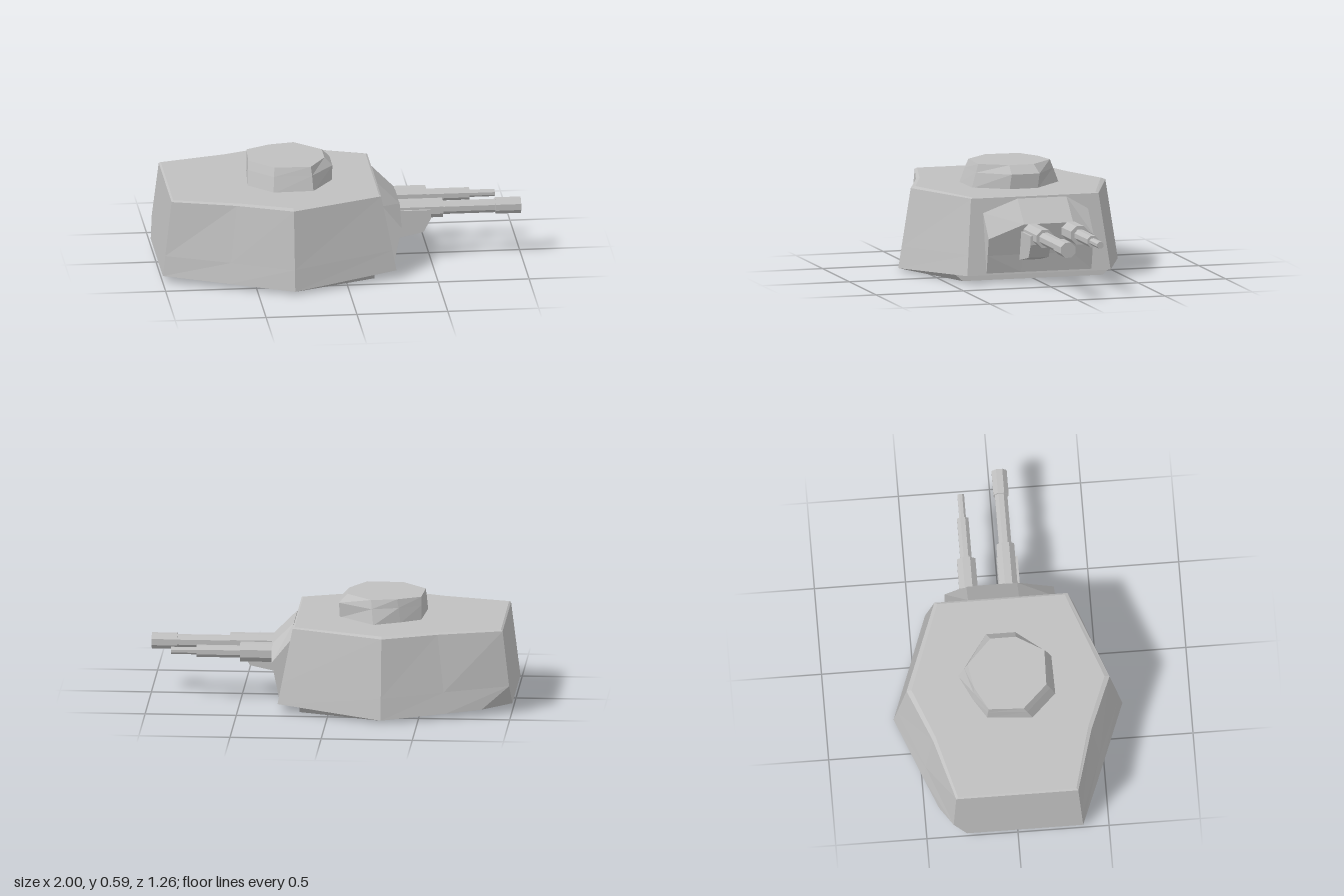
import * as THREE from 'three';

const steel = new THREE.MeshStandardMaterial({ color: 0xc0c0c0 });
steel.name = 'light grey steel';

// Flat-shaded skin over matching rings, counter-clockwise around the direction of travel, capped at both ends
function loft(name, rings) {
  const pos = [];
  const tri = (a, b, c) => pos.push(...a, ...b, ...c);
  const centre = (r) => [0, 1, 2].map((k) => r.reduce((s, p) => s + p[k], 0) / r.length);
  const n = rings[0].length;
  const first = rings[0], last = rings[rings.length - 1];
  const c0 = centre(first), c1 = centre(last);
  for (let i = 0; i < n; i++) {
    const j = (i + 1) % n;
    for (let k = 0; k < rings.length - 1; k++) {
      const a = rings[k], b = rings[k + 1];
      tri(a[i], a[j], b[j]);
      tri(a[i], b[j], b[i]);
    }
    tri(c0, first[j], first[i]);
    tri(c1, last[i], last[j]);
  }
  const g = new THREE.BufferGeometry();
  g.setAttribute('position', new THREE.Float32BufferAttribute(pos, 3));
  g.computeVertexNormals();
  const mesh = new THREE.Mesh(g, steel);
  mesh.name = name;
  return mesh;
}

// Ring of the shell from its +z half, back to front; the other back corner may be cut into two points
function shellRing(half, cut) {
  const mirrored = half.slice().reverse().map(([x, y, z]) => [x, y, -z]);
  const corner = mirrored.pop();
  return [...mirrored, ...(cut || [corner, corner]), ...half];
}

// Stepped eight-sided barrel along x; steps are [x, radius]
function barrel(name, y, z, steps) {
  const pts = steps.map(([x, r]) => new THREE.Vector2(r, x));
  const g = new THREE.LatheGeometry(pts, 8, Math.PI / 8).toNonIndexed();
  g.rotateZ(-Math.PI / 2);
  g.computeVertexNormals();
  const mesh = new THREE.Mesh(g, steel);
  mesh.position.set(0, y, z);
  mesh.name = name;
  return mesh;
}

export function createModel() {
  const model = new THREE.Group();
  model.name = 'turret';

  // Six-sided armoured shell: stepped floor, overhanging front, one clipped back corner, dented roof edge
  const base = [[-1, 0.045, 0.358], [-0.65, 0.033, 0.495], [-0.3, 0.02, 0.628]];
  const foot = [...base, [0.28, 0.05, 0.41]];
  const rim = [[-0.95, 0.463, 0.335], [-0.6, 0.462, 0.435], [-0.3, 0.46, 0.557], [0.2, 0.465, 0.365]];
  const waist = foot.map((p, i) => p.map((v, k) => v + (rim[i][k] - v) * 0.27));
  const clip = [[-0.84, 0.04, -0.42], [-1, 0.045, -0.28]];
  model.add(loft('shell', [
    shellRing([...base, [0.16, 0.005, 0.4]], clip),
    shellRing([...base, [0.155, 0.05, 0.45]], clip),
    shellRing(foot, clip),
    shellRing(waist),
    shellRing(rim),
    shellRing([[-0.94, 0.47, 0.325], [-0.58, 0.47, 0.42], [-0.3, 0.47, 0.53], [0.19, 0.47, 0.35]]),
  ]));

  // Faceted cupola, bulging slightly towards the guns
  const low = [[-0.51, 0.12], [-0.38, 0.255], [-0.16, 0.25], [-0.04, 0.07],
    [-0.04, -0.09], [-0.235, -0.27], [-0.38, -0.2], [-0.49, -0.13]];
  const mid = [[-0.505, 0.09], [-0.375, 0.225], [-0.165, 0.225], [-0.036, 0.06],
    [-0.036, -0.1], [-0.225, -0.235], [-0.37, -0.195], [-0.49, -0.125]];
  const high = [[-0.5, 0.07], [-0.37, 0.205], [-0.17, 0.21], [-0.08, 0.06],
    [-0.08, -0.08], [-0.22, -0.215], [-0.36, -0.19], [-0.49, -0.12]];
  model.add(loft('cupola', [[low, 0.465], [mid, 0.55], [high, 0.597]]
    .map(([ring, y]) => ring.map(([x, z]) => [x, y, z]))));

  // Gun mantlet, fuller towards the middle of the front plate
  const section = (z, full) => (full
    ? [[0.15, 0.06], [0.28, 0.06], [0.295, 0.16], [0.33, 0.33], [0.205, 0.455]]
    : [[0.15, 0.06], [0.28, 0.06], [0.3, 0.16], [0.32, 0.255], [0.215, 0.385]]
  ).map(([x, y]) => [x, y, z]);
  model.add(loft('mantlet', [
    section(-0.3, false), section(-0.18, true), section(0.1, true), section(0.3, false),
  ]));

  // Bracket below the main gun
  const bracket = [[0.25, 0.13], [0.3, 0.13], [0.46, 0.165], [0.5, 0.24], [0.5, 0.29], [0.25, 0.29]];
  model.add(loft('gunBracket', [0.0, 0.115].map((z) => bracket.map(([x, y]) => [x, y, z]))));

  // Main gun and the thinner gun beside it
  model.add(barrel('mainGun', 0.283, 0.053, [
    [0.2, 0], [0.2, 0.053], [0.57, 0.053], [0.57, 0.037], [0.86, 0.037], [0.86, 0.045], [1, 0.045], [1, 0],
  ]));
  model.add(barrel('secondGun', 0.283, -0.167, [
    [0.2, 0], [0.2, 0.055], [0.5, 0.055], [0.5, 0.034], [0.74, 0.034], [0.74, 0.02], [0.88, 0.02], [0.88, 0],
  ]));

  return model;
}
